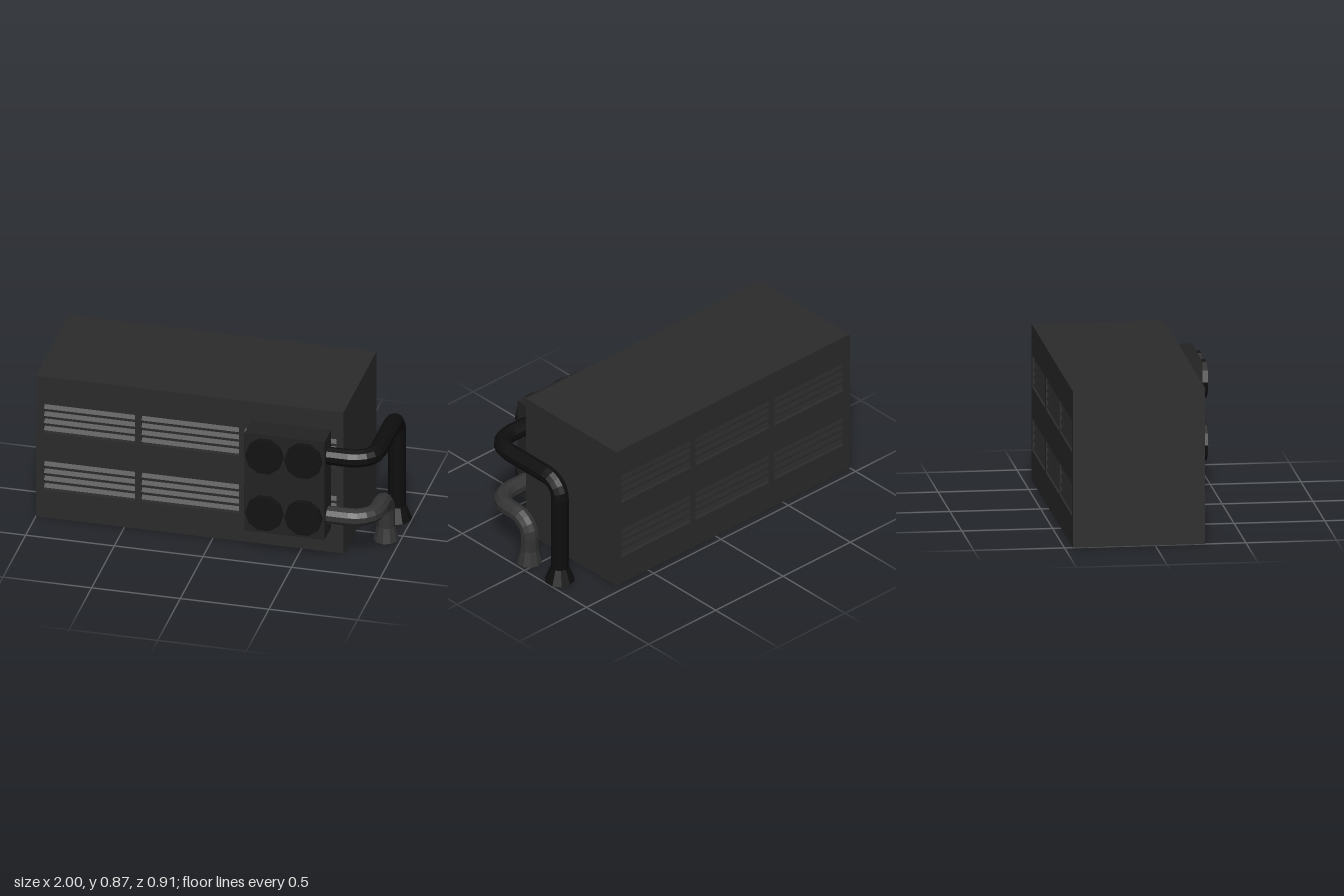
import * as THREE from 'three';

const mat = (color) => new THREE.MeshStandardMaterial({ color, flatShading: true });
const bodyMat = mat(0x2b2b2b), boxMat = mat(0x222222), slatMat = mat(0x262626);
const discMat = mat(0x131313), darkPipeMat = mat(0x0e0e0e), greyPipeMat = mat(0x343434);

function add(parent, name, geometry, material, x = 0, y = 0, z = 0) {
  const mesh = new THREE.Mesh(geometry, material);
  mesh.name = name;
  mesh.position.set(x, y, z);
  parent.add(mesh);
  return mesh;
}

// Body extents and louvre windows
const X0 = -1, X1 = 0.735, H = 0.873, Z0 = -0.453, Z1 = 0.275, WALL = 0.025;
const columns = [[-0.955, -0.44], [-0.405, 0.145], [0.175, 0.695]];
const rows = [[0.17, 0.35], [0.525, 0.703]];

function rect(target, x0, y0, x1, y1) {
  target.moveTo(x0, y0);
  target.lineTo(x1, y0);
  target.lineTo(x1, y1);
  target.lineTo(x0, y1);
  target.closePath();
  return target;
}

// Wall pierced by the windows, with tilted slats set into each one
function louvredWall(name, z, facing) {
  const group = new THREE.Group();
  group.name = name;
  const shape = rect(new THREE.Shape(), X0, 0, X1, H);
  for (const [a, b] of columns)
    for (const [c, d] of rows) shape.holes.push(rect(new THREE.Path(), a, c, b, d));
  add(group, 'ventWall', new THREE.ExtrudeGeometry(shape, { depth: WALL, bevelEnabled: false }),
    bodyMat, 0, 0, facing > 0 ? z - WALL : z);
  for (const [a, b] of columns)
    for (const [c, d] of rows)
      for (let i = 0; i < 4; i++) {
        const slat = add(group, 'ventSlat', new THREE.BoxGeometry(b - a, 0.026, 0.008), slatMat,
          (a + b) / 2, c + (d - c) * (i + 0.5) / 4, z - facing * 0.014);
        slat.rotation.x = -facing * 0.5;
      }
  return group;
}

// Ten-sided pipe: out along +x, round to -z, then down to a flared foot
function pipe(name, y, footZ, flareRadius, material) {
  const x = 0.917, z = 0.345, r = 0.05, bend1 = 0.13, bend2 = 0.098, sides = 10, steps = 5;
  const stations = [{ p: [0.64, y, z], t: [1, 0, 0], r }];
  for (let i = 0; i <= steps; i++) {
    const a = (i / steps) * Math.PI / 2, s = Math.sin(a), c = Math.cos(a);
    stations.push({ p: [x - bend1 + bend1 * s, y, z - bend1 + bend1 * c], t: [c, 0, -s], r });
  }
  for (let i = 0; i <= steps; i++) {
    const a = (i / steps) * Math.PI / 2, s = Math.sin(a), c = Math.cos(a);
    stations.push({ p: [x, y - bend2 + bend2 * c, footZ + bend2 - bend2 * s], t: [0, -s, -c], r });
  }
  stations.push({ p: [x, 0.085, footZ], t: [0, -1, 0], r });
  stations.push({ p: [x, 0, footZ], t: [0, -1, 0], r: flareRadius });
  stations.push({ p: [x, 0, footZ], t: [0, -1, 0], r: 0 });

  const positions = [], index = [];
  const normal = new THREE.Vector3(0, 1, 0), turn = new THREE.Quaternion();
  let previous = new THREE.Vector3(1, 0, 0);
  stations.forEach((station, i) => {
    const t = new THREE.Vector3(...station.t);
    normal.applyQuaternion(turn.setFromUnitVectors(previous, t));
    previous = t;
    const side = new THREE.Vector3().crossVectors(t, normal);
    for (let j = 0; j < sides; j++) {
      const a = (j / sides) * Math.PI * 2;
      const v = new THREE.Vector3(...station.p)
        .addScaledVector(normal, station.r * Math.cos(a))
        .addScaledVector(side, station.r * Math.sin(a));
      positions.push(v.x, v.y, v.z);
      if (i === 0) continue;
      const k = (j + 1) % sides, lo = (i - 1) * sides, hi = i * sides;
      index.push(lo + j, lo + k, hi + j, lo + k, hi + k, hi + j);
    }
  });
  const geometry = new THREE.BufferGeometry();
  geometry.setAttribute('position', new THREE.Float32BufferAttribute(positions, 3));
  geometry.setIndex(index);
  geometry.computeVertexNormals();
  const mesh = new THREE.Mesh(geometry, material);
  mesh.name = name;
  return mesh;
}

export function createModel() {
  const model = new THREE.Group();
  model.name = 'coolingUnit';

  // Cabinet
  add(model, 'cabinetCore', new THREE.BoxGeometry(X1 - X0, H, Z1 - Z0 - 2 * WALL), bodyMat,
    (X0 + X1) / 2, H / 2, (Z0 + Z1) / 2);
  model.add(louvredWall('frontWall', Z1, 1), louvredWall('backWall', Z0, -1));

  // Fan box with four round discs
  add(model, 'fanBox', new THREE.BoxGeometry(0.45, 0.607, 0.145), boxMat, 0.44, 0.452, 0.3475);
  for (const x of [0.33, 0.55])
    for (const y of [0.28, 0.632]) {
      const disc = new THREE.CylinderGeometry(0.105, 0.105, 0.04, 10);
      disc.rotateY(Math.PI / 2).rotateX(Math.PI / 2);
      add(model, 'fanDisc', disc, discMat, x, y, 0.433);
    }

  // Pipes
  model.add(pipe('upperPipe', 0.634, -0.195, 0.083, darkPipeMat));
  model.add(pipe('lowerPipe', 0.269, 0.05, 0.07, greyPipeMat));
  return model;
}
